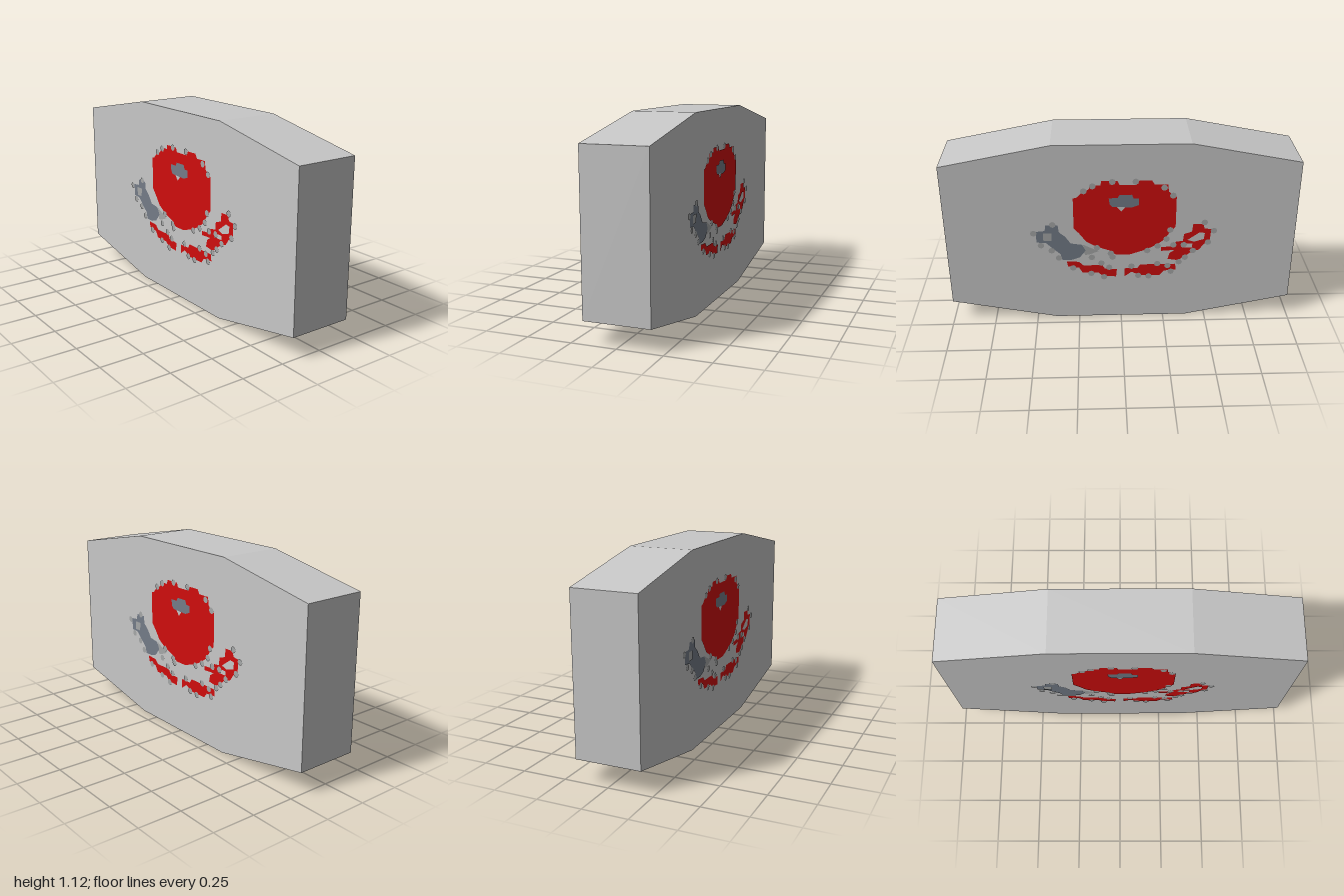
import * as THREE from 'three';

const mat = (name, color, side = THREE.FrontSide) => {
  const m = new THREE.MeshStandardMaterial({ color, side });
  m.name = name;
  return m;
};
const casing = mat('casing grey', 0xc8c8c8);
const black = mat('underside black', 0x262626);
const red = mat('red paint', 0xd00d0d);
const slate = mat('slate paint', 0x747c88);
const silver = mat('worn edge grey', 0xa6a8a8);

const HALF = 0.1845, SKEW = 0.0025;

// Flat list of x, y in hundredths of a unit -> points
const points = (a) => {
  const out = [];
  for (let i = 0; i < a.length; i += 2) out.push(new THREE.Vector2(a[i] / 100, a[i + 1] / 100));
  return out;
};

// Thin painted patch with optional holes
function patch(name, material, outline, z, holes = []) {
  const shape = new THREE.Shape(points(outline));
  holes.forEach((h) => shape.holes.push(new THREE.Path(points(h))));
  const mesh = new THREE.Mesh(new THREE.ShapeGeometry(shape), material);
  mesh.name = name;
  mesh.position.z = z;
  return mesh;
}

// Eight-sided box, slightly skewed in depth, with a black underside
function buildCasing() {
  const outline = points([-100, 12.2, -38.5, 0, 38.5, 0, 100, 12.2, 100, 100, 38.5, 112, -38.5, 112, -100, 100]);
  const geo = new THREE.ExtrudeGeometry(new THREE.Shape(outline), { depth: 2 * HALF, bevelEnabled: false });
  geo.translate(0, 0, -HALF);
  const pos = geo.attributes.position;
  for (let i = 0; i < pos.count; i++) pos.setZ(i, pos.getZ(i) - SKEW * pos.getX(i));
  geo.computeVertexNormals();
  geo.clearGroups();
  const normal = geo.attributes.normal;
  for (let i = 0; i < pos.count; i += 3) geo.addGroup(i, 3, normal.getY(i) < -0.5 ? 1 : 0);
  const mesh = new THREE.Mesh(geo, [casing, black]);
  mesh.name = 'casing';
  return mesh;
}

// Painted design shared by both broad faces
function buildPainting() {
  const g = new THREE.Group();

  // Round centre with a notched top
  g.add(patch('roundCentre', red, [
    -2, 90.5, -11, 90.5, -11.5, 88, -17.5, 88, -18, 85.5, -22, 83.5, -25, 80.5, -27, 80,
    -27, 61, -24, 57.5, -20, 52, -14, 48.5, -7, 46, -3, 43, 5, 43, 14, 46, 20, 49, 24, 52,
    28, 57.5, 31, 61, 31, 80, 28, 82, 26.5, 83.5, 26, 88, 18.5, 88, 17, 90.5, 10, 90.5, 8.5, 88, -1, 88,
  ], 0.003));
  g.add(patch('centreSpot', slate, [
    -7, 80, -2, 80, -1, 82, 6, 82, 7, 79.5, 10, 79.5, 10, 75.5, 6, 74, -5, 74.5, -6.5, 76,
  ], 0.006));
  g.add(patch('centreSpotTip', casing, [-2.5, 74.5, 2.5, 74.5, 0, 71.5], 0.006));

  // Left and right arms
  g.add(patch('slateArm', slate, [
    -43, 63, -36, 63, -35.5, 58.5, -32, 55.5, -29, 51, -22.5, 50, -20.5, 46, -24, 41.5,
    -28.5, 40, -34, 40, -35, 44, -39.5, 48, -43, 51.5, -48.5, 52, -48.5, 59, -43.5, 59.5,
  ], 0.003));
  g.add(patch('slateArmSpot', silver, [-44.5, 53, -40, 53, -39.5, 58, -44.5, 58], 0.006));
  g.add(patch('armTipShade', silver, [-22, 50, -13, 45.5, -18, 43.5, -21, 43], 0.002));
  g.add(patch('redArm', red, [
    41, 62.5, 47, 62.5, 47.5, 59.5, 51.5, 59, 51, 52, 47.5, 49, 45, 45.5, 40.5, 44, 36, 40.5,
    33, 38.5, 27, 39.5, 28, 43.5, 31, 45.5, 23, 45, 23, 47.5, 30, 48, 31.5, 51, 35.5, 51.5, 36, 56, 40.5, 57.5,
  ], 0.003, [[35, 47, 35, 49.5, 41, 49.5, 41, 47], [38, 52, 45, 57, 48, 56.5, 47.5, 52.5, 42, 50.8]]));

  // Lower bands
  g.add(patch('leftBand', red, [
    -31.5, 39, -24.5, 38.5, -22, 36, -11, 36, -9.5, 33.5, -2.5, 33, -3, 28, -10.5, 28.5,
    -13.5, 31, -22.5, 31, -24.5, 34.5, -31, 35.5,
  ], 0.003));
  g.add(patch('rightBand', red, [
    2, 33.5, 9.5, 33.5, 11, 36, 31.5, 36, 32, 32, 25, 31.5, 22.5, 28.5, 11.5, 28.5, 6, 31, 2, 28,
  ], 0.003));

  // Worn flecks along the painted edges
  const flecks = points([
    -5, 90, 8, 90, -16, 87.5, 24, 86, -21, 84.5, 29, 81, 28, 59, 26, 53, 21, 48.5, 15, 45.5,
    -6, 44, -14, 48, -50, 58, -46, 50, -39, 63.5, -40, 46.5, -36, 41.5, 47.5, 63.5, 53, 58,
    50, 50.5, 41.5, 45, 36, 49, 30, 49, 37, 40.5, 33.5, 37.5, 27, 35, 21, 36.5, 6, 35,
    -10, 28, -17.5, 30.5, 29, 31, 10, 28.5, 16, 28, -17, 41.5, -11.5, 37.5, -5, 41.5, -7, 34.5, -28, 34.5,
  ]);
  for (const p of flecks) {
    const fleck = new THREE.Mesh(new THREE.CircleGeometry(0.019, 8), silver);
    fleck.name = 'wornFleck';
    fleck.position.set(p.x, p.y, 0.005);
    g.add(fleck);
  }
  return g;
}

export function createModel() {
  const model = new THREE.Group();
  model.name = 'signBox';
  model.add(buildCasing());
  // The same design reads the right way round on front and back
  for (const side of ['front', 'back']) {
    const painting = buildPainting();
    painting.name = side + 'Painting';
    painting.position.z = side === 'front' ? HALF : -HALF;
    painting.rotation.y = SKEW + (side === 'front' ? 0 : Math.PI);
    model.add(painting);
  }
  return model;
}
